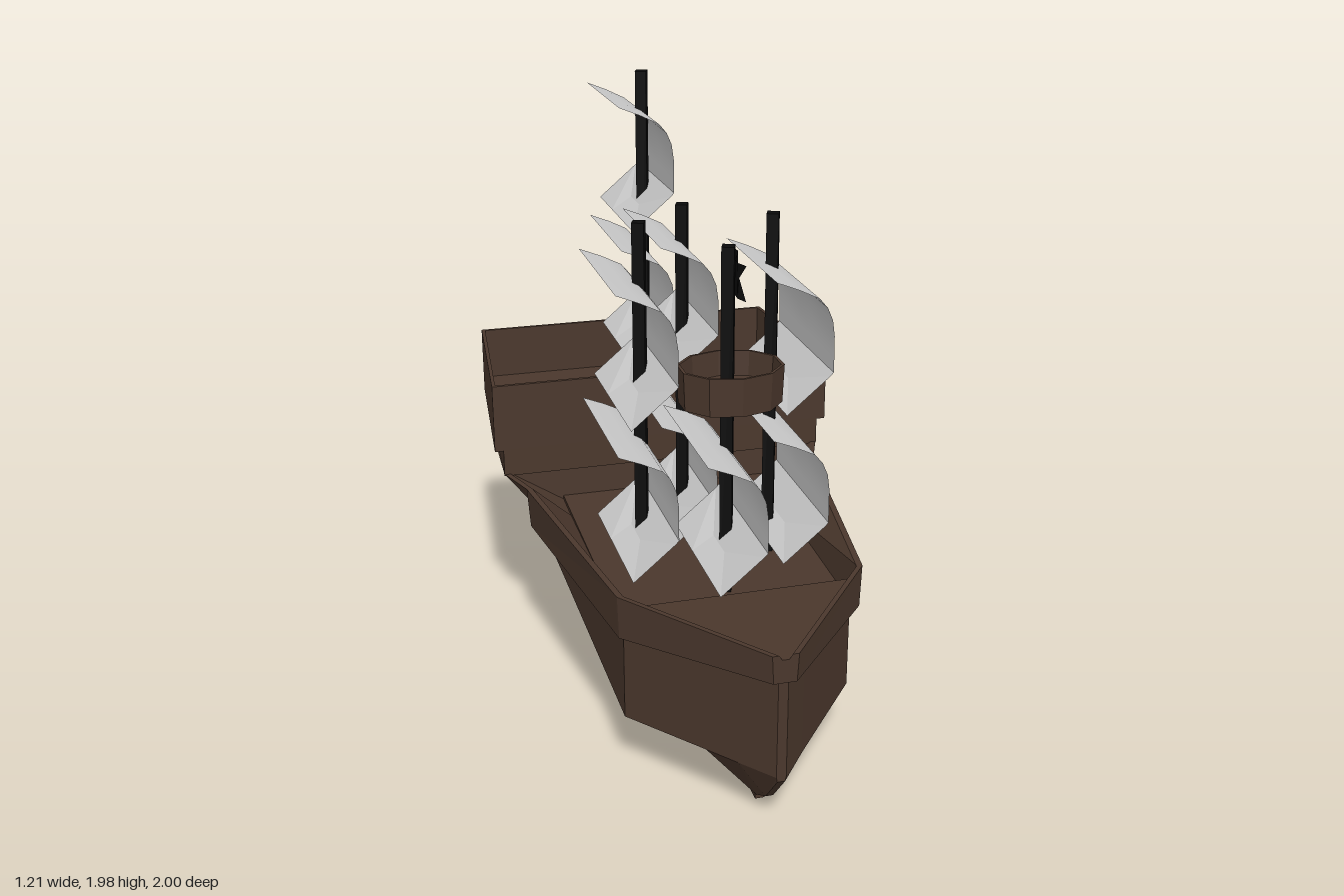
import * as THREE from 'three';

const mat = (color, opts = {}) => new THREE.MeshStandardMaterial({ color, ...opts });

// Closed skin through cross-sections { z, pts } ordered bow to stern, pts counter-clockwise seen from the bow
function loft(sections) {
  const pos = [];
  const n = sections[0].pts.length;
  const put = (s, j) => pos.push(s.pts[j % n][0], s.pts[j % n][1], s.z);
  for (let i = 0; i < sections.length - 1; i++) {
    const s = sections[i], t = sections[i + 1];
    for (let j = 0; j < n; j++) {
      put(s, j); put(t, j); put(t, j + 1);
      put(s, j); put(t, j + 1); put(s, j + 1);
    }
  }
  [sections[0], sections[sections.length - 1]].forEach((s, end) => {
    const contour = s.pts.map(p => new THREE.Vector2(p[0], p[1]));
    for (const [a, b, c] of THREE.ShapeUtils.triangulateShape(contour, [])) {
      (end ? [a, c, b] : [a, b, c]).forEach(k => put(s, k));
    }
  });
  const g = new THREE.BufferGeometry();
  g.setAttribute('position', new THREE.Float32BufferAttribute(pos, 3));
  g.computeVertexNormals();
  return g;
}

// Mirror a half section (bottom to top) into a full loop
const mirrored = half => [...half, ...half.slice().reverse().map(([x, y]) => [-x, y])];

// Plan outline seen from above: z and half width at the front and at the back
function plan(zFront, zBack, wFront, wBack, PathType) {
  return new PathType([[-wBack, -zBack], [-wFront, -zFront], [wFront, -zFront], [wBack, -zBack]]
    .map(([x, y]) => new THREE.Vector2(x, y)));
}

export function createModel() {
  const ship = new THREE.Group();
  const wood = mat(0x4a372c, { flatShading: true, side: THREE.DoubleSide });
  const black = mat(0x0b0b0b, { flatShading: true, side: THREE.DoubleSide });
  const cloth = mat(0xcccccc, { side: THREE.DoubleSide });
  const copper = mat(0xb0602a);

  const add = (name, geometry, material, x = 0, y = 0, z = 0, parent = ship) => {
    const m = new THREE.Mesh(geometry, material);
    m.name = name;
    m.position.set(x, y, z);
    parent.add(m);
    return m;
  };

  // Lower hull: z, keel height, half width, top height
  const hull = [
    [0.985, 0.19, 0.015, 0.54], [0.88, 0.07, 0.1, 0.53], [0.79, 0.015, 0.172, 0.53],
    [0.55, 0.012, 0.365, 0.52], [-0.73, 0.025, 0.37, 0.56],
  ].map(([z, keel, w, top]) => ({
    z, pts: mirrored([[0.012, keel], [w, 0.205], [w, top]]),
  }));
  add('hull', loft(hull), wood);

  // Keel strip, slightly lower at the bow
  const keel = add('keel', new THREE.BoxGeometry(0.03, 0.02, 1.53), wood, 0, 0.018, 0.025);
  keel.rotation.x = 0.01;

  // Flared bulwark with sunken deck: z, bottom half width, rim half width, bottom, rim, deck half width, deck height
  const bulwark = [
    [1.0, 0.035, 0.04, 0.53, 0.62, 0.01, 0.605],
    [0.58, 0.385, 0.39, 0.5, 0.64, 0.355, 0.6],
    [0.57, 0.387, 0.392, 0.5, 0.64, 0.355, 0.52],
    [-0.24, 0.51, 0.52, 0.51, 0.65, 0.36, 0.525],
    [-0.375, 0.47, 0.575, 0.52, 0.656, 0.36, 0.53],
    [-0.38, 0.47, 0.575, 0.52, 0.656, 0.36, 0.65],
    [-0.73, 0.37, 0.56, 0.545, 0.656, 0.36, 0.65],
    [-0.98, 0.53, 0.535, 0.645, 0.656, 0.36, 0.65],
  ].map(([z, wb, w, yb, yt, wd, yd]) => ({
    z, pts: mirrored([[wb, yb], [w, yt], [Math.max(w - 0.02, wd + 0.005), yt], [wd, yd]]),
  }));
  add('bulwarkAndDeck', loft(bulwark), wood);

  // Aft castle: base, then thin walls around a raised floor
  const slab = (name, shape, y, height) => {
    const g = new THREE.ExtrudeGeometry(shape, { depth: height, bevelEnabled: false });
    g.rotateX(-Math.PI / 2);
    return add(name, g, wood, 0, y, 0);
  };
  slab('castleBase', plan(-0.37, -0.98, 0.575, 0.535, THREE.Shape), 0.65, 0.1);
  const walls = plan(-0.37, -0.995, 0.605, 0.55, THREE.Shape);
  walls.holes.push(plan(-0.383, -0.982, 0.592, 0.538, THREE.Path));
  slab('castleWalls', walls, 0.745, 0.24);
  slab('castleFloor', plan(-0.375, -0.985, 0.6, 0.545, THREE.Shape), 0.745, 0.055);

  // Thin steering wheel with spokes
  const wheel = new THREE.Group();
  wheel.name = 'steeringWheel';
  wheel.position.set(0.055, 0.91, -0.42);
  ship.add(wheel);
  add('wheelRim', new THREE.TorusGeometry(0.09, 0.006, 6, 24), copper, 0, 0, 0, wheel);
  add('wheelHub', new THREE.CylinderGeometry(0.018, 0.018, 0.015, 10).rotateX(Math.PI / 2), copper, 0, 0, 0, wheel);
  for (let i = 0; i < 4; i++) {
    const spoke = add('wheelSpoke', new THREE.CylinderGeometry(0.005, 0.005, 0.215, 6), copper, 0, 0, 0, wheel);
    spoke.rotation.z = i * Math.PI / 4;
  }

  // Sail: a bellied sheet, plus a flap turned back beneath it with a shallow V fold
  const columns = [-0.26, -0.06, 0.06, 0.26];
  const profile = [[-0.14, 0], [-0.07, -0.028], [-0.005, -0.06], [0.02, -0.09],
    [0.037, -0.13], [0.044, -0.18], [0.045, -0.24], [0.045, -0.295]];
  const fold = c => (c === 0 || c === 3 ? [0.035, -0.306] : [-0.03, -0.376]);
  const sheet = (rows, at) => {
    const g = new THREE.PlaneGeometry(1, 1, 3, rows - 1);
    const p = g.attributes.position;
    for (let i = 0; i < p.count; i++) {
      const c = i % 4, [x, y] = at(Math.floor(i / 4), c);
      p.setXYZ(i, x, y, -columns[c]);
    }
    g.computeVertexNormals();
    return g;
  };
  const belly = sheet(profile.length, r => profile[r]);
  const flap = sheet(3, (r, c) => [profile[7], fold(c), [-0.1, -0.42]][r]).toNonIndexed();
  flap.computeVertexNormals();

  // Masts: x, z, top, sail centre x, sail centre z, sail top heights
  [
    [0, -0.655, 1.985, 0, -0.645, [1.91, 1.425]],
    [0, -0.12, 1.645, 0, -0.105, [1.58, 0.99]],
    [0.21, 0.18, 1.675, 0.27, 0.21, [1.54, 1.04]],
    [-0.215, 0.18, 1.675, -0.213, 0.21, [1.54, 1.04]],
    [0, 0.405, 1.645, 0, 0.43, [1.075]],
  ].forEach(([x, z, top, sx, sz, tops]) => {
    const mast = add('mast', new THREE.CylinderGeometry(0.027, 0.027, top - 0.51, 4), black, x, (top + 0.51) / 2, z);
    mast.rotation.y = 0.4;
    for (const y of tops) {
      const sail = new THREE.Group();
      sail.name = 'sail';
      sail.position.set(sx, y, sz);
      ship.add(sail);
      add('sailBelly', belly, cloth, 0, 0, 0, sail);
      add('sailFlap', flap, cloth, 0, 0, 0, sail);
    }
  });

  // Lookout basket: thin-walled open tub
  const tub = [[0, 0], [0.16, 0], [0.165, 0.12], [0.155, 0.12], [0.15, 0.04], [0, 0.04]]
    .map(([r, y]) => new THREE.Vector2(r, y));
  add('lookoutBasket', new THREE.LatheGeometry(tub, 10), wood, 0.008, 1.16, 0.41).scale.z = 0.82;

  // Swallow-tailed flag with a gentle wave
  const flag = new THREE.PlaneGeometry(1, 1, 6, 2);
  const fp = flag.attributes.position;
  for (let i = 0; i < fp.count; i++) {
    const u = fp.getX(i) + 0.5, v = fp.getY(i);
    const notch = u > 0.99 && Math.abs(v) < 0.1 ? 0.07 : 0;
    fp.setXYZ(i, 0.02 * Math.sin(u * 6), 1.585 + v * 0.105, 0.36 + u * 0.24 - notch);
  }
  add('flag', flag, black);

  return ship;
}
